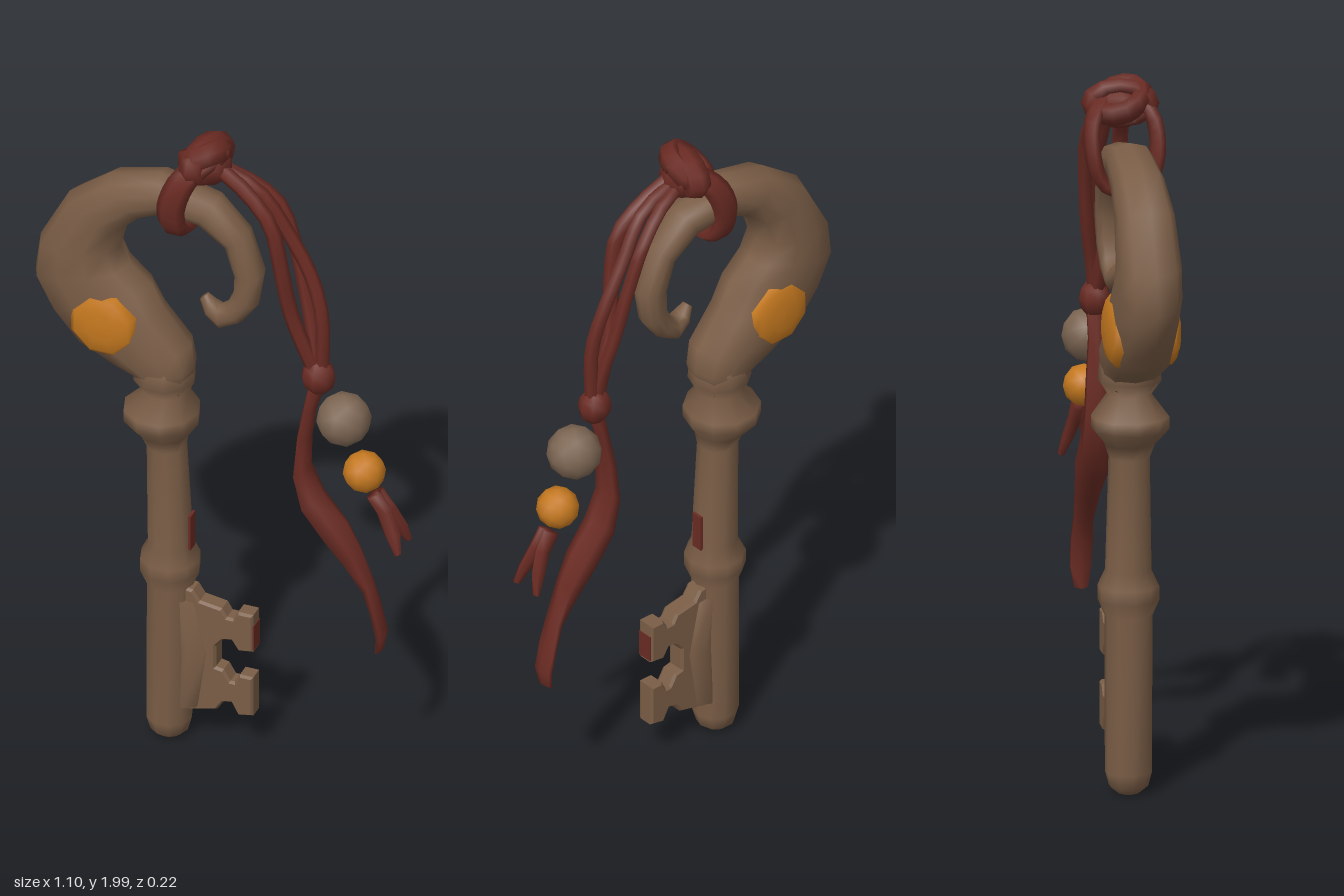
import * as THREE from 'three';

const mat = (name, color) => {
  const m = new THREE.MeshStandardMaterial({ color });
  m.name = name;
  return m;
};

// Skin a list of equal rings (arrays of Vector3) into a capped smooth solid
function skin(rings) {
  const n = rings[0].length, pos = [], idx = [];
  rings.forEach(r => r.forEach(p => pos.push(p.x, p.y, p.z)));
  const centre = r => r.reduce((s, p) => s.add(p), new THREE.Vector3()).divideScalar(n);
  const last = rings.length - 1, a = pos.length / 3;
  [rings[0], rings[last]].forEach(r => pos.push(...centre(r).toArray()));
  for (let i = 0; i < n; i++) {
    const j = (i + 1) % n;
    for (let k = 0; k < last; k++) {
      const p = k * n, q = p + n;
      idx.push(p + i, p + j, q + j, p + i, q + j, q + i);
    }
    idx.push(a, j, i, a + 1, last * n + i, last * n + j);
  }
  // Turn the faces outward if the signed volume is negative
  const v = i => new THREE.Vector3(pos[i * 3], pos[i * 3 + 1], pos[i * 3 + 2]);
  let vol = 0;
  for (let t = 0; t < idx.length; t += 3) vol += v(idx[t]).dot(v(idx[t + 1]).cross(v(idx[t + 2])));
  if (vol < 0) idx.reverse();
  const g = new THREE.BufferGeometry();
  g.setAttribute('position', new THREE.Float32BufferAttribute(pos, 3));
  g.setIndex(idx);
  g.computeVertexNormals();
  return g;
}

// Section = [edge x, edge y, opposite edge x, y, half depth, centre z]
function loft(sections, sides = 10, power = 0.85) {
  return skin(sections.map(([ox, oy, ix, iy, d, z = 0]) =>
    Array.from({ length: sides }, (_, i) => {
      const t = (i / sides) * Math.PI * 2, c = Math.cos(t), s = Math.sin(t);
      return new THREE.Vector3(
        (ox + ix) / 2 + c * (ox - ix) / 2,
        (oy + iy) / 2 + c * (oy - iy) / 2,
        z + Math.sign(s) * Math.abs(s) ** power * d);
    })));
}

export function createModel() {
  const group = new THREE.Group();
  const wood = mat('carved brown', 0x7a5d46);
  const cord = mat('dark red leather', 0x6a2b23);
  const amber = mat('amber', 0xc4781f);
  const beadBrown = mat('dull brown', 0x7c6552);

  const add = (name, geo, material, x = 0, y = 0, z = 0) => {
    const m = new THREE.Mesh(geo, material);
    m.name = name;
    m.position.set(x, y, z);
    group.add(m);
    return m;
  };

  // Shaft with rings and collars: [centre x, y, radius]
  const shaft = [
    [-0.155, 0.0, 0.03], [-0.155, 0.02, 0.054], [-0.155, 0.06, 0.065], [-0.153, 0.5, 0.066],
    [-0.153, 0.545, 0.085], [-0.153, 0.585, 0.085], [-0.152, 0.63, 0.064], [-0.163, 0.95, 0.057],
    [-0.17, 0.99, 0.07], [-0.178, 1.035, 0.108], [-0.178, 1.07, 0.108], [-0.164, 1.13, 0.062],
    [-0.17, 1.17, 0.088], [-0.167, 1.22, 0.082], [-0.17, 1.26, 0.06],
  ];
  add('shaft', loft(shaft.map(([x, y, r]) => [x - r, y, x + r, y, r]), 10, 1), wood);

  // Curled head, swelling around the gem and thinning to a hooked tip
  add('hookHead', loft([
    [-0.24, 1.15, -0.095, 1.15, 0.07], [-0.255, 1.18, -0.08, 1.22, 0.08],
    [-0.31, 1.2, -0.09, 1.29, 0.088], [-0.42, 1.25, -0.17, 1.39, 0.092],
    [-0.5, 1.34, -0.205, 1.46, 0.092], [-0.55, 1.44, -0.27, 1.515, 0.09],
    [-0.535, 1.55, -0.3, 1.565, 0.088], [-0.45, 1.71, -0.28, 1.64, 0.082],
    [-0.33, 1.8, -0.22, 1.695, 0.074], [-0.18, 1.84, -0.15, 1.725, 0.066],
    [-0.01, 1.8, -0.06, 1.71, 0.056], [0.08, 1.71, 0.015, 1.655, 0.048],
    [0.125, 1.58, 0.04, 1.57, 0.043], [0.108, 1.475, 0.038, 1.51, 0.04],
    [0.06, 1.41, 0.02, 1.468, 0.037], [0.0, 1.378, -0.005, 1.447, 0.034],
    [-0.045, 1.41, -0.02, 1.455, 0.028], [-0.064, 1.455, -0.042, 1.474, 0.014],
  ], 10, 0.75), wood);

  // Amber gem on each face of the head
  const gemProfile = [[0.102, 0], [0.102, 0.078], [0.085, 0.093], [0.045, 0.103], [0, 0.104]]
    .map(p => new THREE.Vector2(...p));
  for (const s of [1, -1]) {
    const gem = add(s > 0 ? 'frontGem' : 'backGem', new THREE.LatheGeometry(gemProfile, 8), amber, -0.32, 1.35);
    gem.rotation.set(s * Math.PI / 2, Math.PI / 8, 0);
  }

  // Flat bit with two flared teeth
  const bit = new THREE.Shape([
    [-0.12, 0.1], [-0.07, 0.115], [-0.01, 0.13], [0.01, 0.16], [0.04, 0.165], [0.06, 0.128], [0.095, 0.135],
    [0.095, 0.25], [0.065, 0.25], [0.05, 0.222], [0.03, 0.222], [0.01, 0.255], [-0.015, 0.26],
    [-0.015, 0.335], [0.01, 0.365], [0.04, 0.37], [0.06, 0.34], [0.095, 0.345], [0.095, 0.455],
    [0.06, 0.455], [0.045, 0.43], [0.02, 0.43], [0.005, 0.455], [-0.06, 0.465], [-0.08, 0.495], [-0.12, 0.5],
  ].map(p => new THREE.Vector2(...p)));
  add('bit', new THREE.ExtrudeGeometry(bit, {
    depth: 0.04, bevelEnabled: true, bevelThickness: 0.008, bevelSize: 0.006, bevelSegments: 1,
  }), wood, 0, 0, -0.02);
  // Sloped web joining the bit to the shaft
  add('bitWeb', loft([[-0.15, 0.11, -0.05, 0.125, 0.045], [-0.15, 0.3, -0.02, 0.3, 0.045],
    [-0.15, 0.47, -0.06, 0.46, 0.045]], 8), wood);

  // Red stains on the shaft and the upper tooth
  add('shaftStain', new THREE.BoxGeometry(0.008, 0.11, 0.035), cord, -0.09, 0.68);
  add('toothStain', new THREE.BoxGeometry(0.006, 0.08, 0.045), cord, 0.1, 0.385);

  // Strap looped over the hook
  const loop = new THREE.CatmullRomCurve3([
    [0, -0.105, 0], [0, -0.085, 0.06], [0, 0, 0.09], [0.02, 0.1, 0.08], [0.05, 0.15, 0.02],
    [0.05, 0.15, -0.02], [0.02, 0.1, -0.08], [0, 0, -0.09], [0, -0.085, -0.06],
  ].map(p => new THREE.Vector3(...p)), true);
  const strap = add('hookStrap', new THREE.TubeGeometry(loop, 24, 0.022, 6, true), cord, -0.115, 1.795);
  strap.scale.x = 1.9;

  // Knot on top: two crossing coils around a core
  const coil = (x, y, rx, ry, sx, sy, R) => {
    const t = add('knotCoil', new THREE.TorusGeometry(R, 0.033, 6, 12), cord, x, y);
    t.rotation.set(rx, ry, 0);
    t.scale.set(sx, sy, 1.1);
  };
  coil(-0.045, 1.92, 0, 1.35, 1, 0.65, 0.075);
  coil(-0.05, 1.93, 1.2, 0.5, 0.75, 0.9, 0.07);
  add('knotCore', new THREE.SphereGeometry(0.065, 8, 6), cord, -0.035, 1.91);

  // Cord strands from the top knot to the lower knot
  const strand = (pts, r) => add('cordStrand', new THREE.TubeGeometry(
    new THREE.CatmullRomCurve3(pts.map(p => new THREE.Vector3(...p))), 14, r, 6), cord);
  strand([[-0.03, 1.92, 0.01], [0.08, 1.86, 0.03], [0.16, 1.78, 0.045], [0.19, 1.64, 0.04],
    [0.21, 1.49, 0.02], [0.25, 1.37, 0.01], [0.285, 1.28, 0]], 0.022);
  strand([[-0.03, 1.91, 0], [0.11, 1.85, 0], [0.19, 1.73, -0.01], [0.26, 1.6, -0.01],
    [0.295, 1.48, 0], [0.295, 1.29, 0]], 0.02);
  strand([[-0.03, 1.9, -0.01], [0.07, 1.86, -0.03], [0.15, 1.79, -0.05], [0.2, 1.66, -0.045],
    [0.24, 1.5, -0.03], [0.27, 1.38, -0.01], [0.285, 1.28, 0]], 0.02);

  // Lower knot
  const knot = add('lowerKnot', new THREE.SphereGeometry(0.052, 8, 6), cord, 0.285, 1.285);
  knot.scale.set(0.95, 1.05, 0.85);

  // Beads
  add('largeBead', new THREE.IcosahedronGeometry(0.077, 1), beadBrown, 0.36, 1.163);
  add('smallBead', new THREE.IcosahedronGeometry(0.06, 1), amber, 0.42, 1.005);

  // Long twisting ribbon tail
  add('longTail', loft([
    [0.26, 1.27, 0.305, 1.26, 0.025], [0.24, 1.17, 0.28, 1.18, 0.025], [0.222, 1.07, 0.266, 1.08, 0.035],
    [0.212, 0.95, 0.262, 0.98, 0.042], [0.235, 0.845, 0.3, 0.9, 0.048], [0.3, 0.755, 0.37, 0.82, 0.046],
    [0.355, 0.69, 0.41, 0.745, 0.036], [0.42, 0.615, 0.445, 0.64, 0.03], [0.445, 0.55, 0.465, 0.56, 0.034],
    [0.458, 0.48, 0.485, 0.48, 0.032], [0.452, 0.42, 0.478, 0.435, 0.022],
  ], 6), cord);

  // Short forked tail under the beads
  for (const s of [1, -1]) {
    add('shortTail', loft([
      [0.43, 0.93, 0.475, 0.955, 0.022, s * 0.008], [0.462, 0.885, 0.51, 0.905, 0.018, s * 0.012],
      [0.49, 0.83, 0.537, 0.845, 0.015, s * 0.026], [0.525, 0.78, 0.545, 0.79, 0.01, s * 0.04],
    ], 6), cord);
  }
  return group;
}
